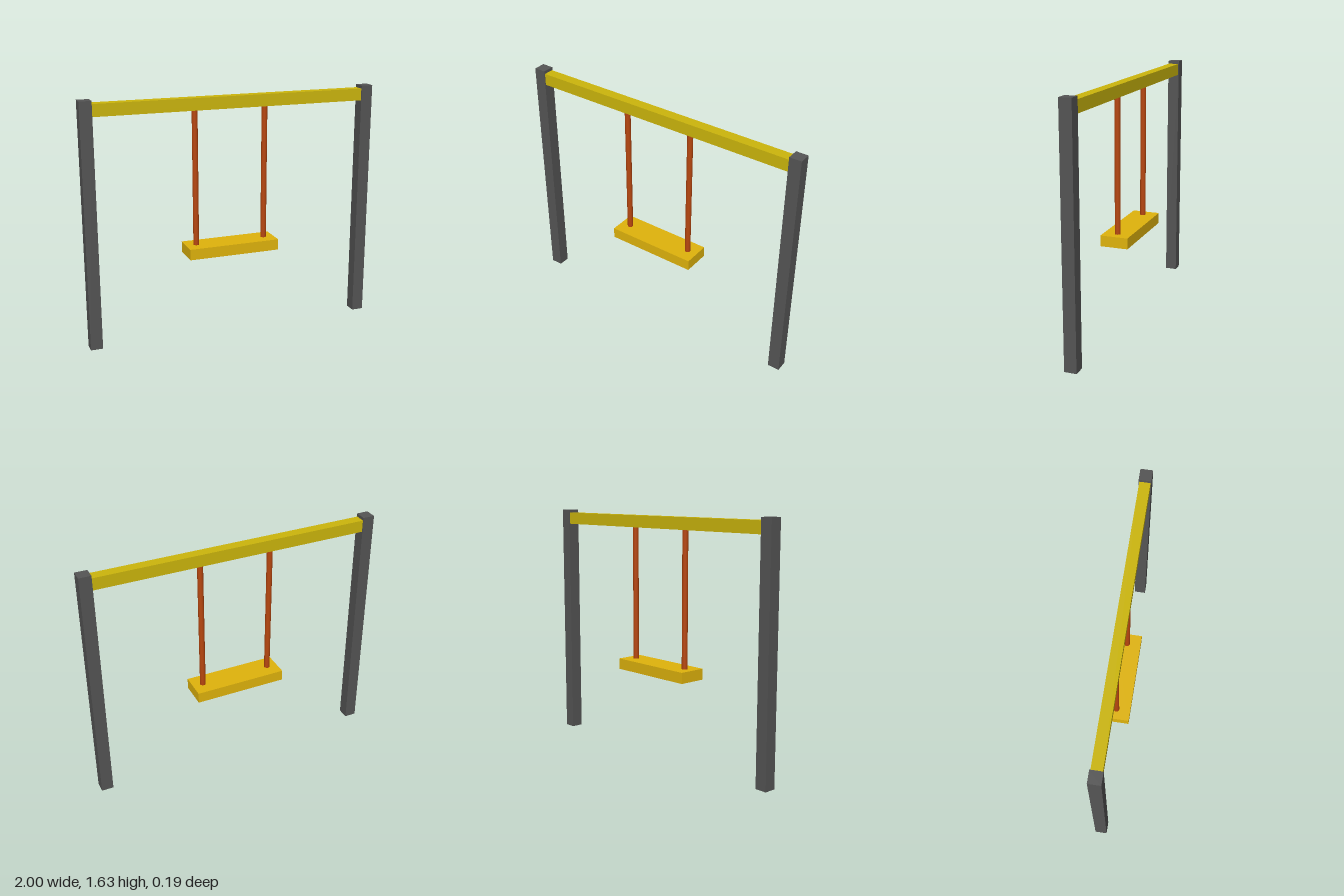
import * as THREE from 'three';

export function createModel() {
  const swing = new THREE.Group();
  swing.name = 'swingSet';

  const paint = (color) => new THREE.MeshStandardMaterial({ color });
  const postPaint = paint(0x555555);
  const beamPaint = paint(0xccb60c);
  const seatPaint = paint(0xe0b40c);
  const ropePaint = paint(0xb8470f);

  const add = (name, geometry, material, x, y, z = 0) => {
    const mesh = new THREE.Mesh(geometry, material);
    mesh.name = name;
    mesh.position.set(x, y, z);
    swing.add(mesh);
    return mesh;
  };

  // Two upright posts
  for (const [name, side] of [['leftPost', 1], ['rightPost', -1]]) {
    add(name, new THREE.BoxGeometry(0.08, 1.63, 0.08), postPaint, side * 0.96, 0.815);
  }

  // Crossbeam between the posts
  add('crossbeam', new THREE.BoxGeometry(1.86, 0.08, 0.07), beamPaint, 0, 1.57);

  // Seat and the two ropes that carry it, hung slightly off centre
  const seatX = -0.015;
  add('seat', new THREE.BoxGeometry(0.625, 0.073, 0.187), seatPaint, seatX, 0.592);
  for (const [name, side] of [['leftRope', 1], ['rightRope', -1]]) {
    add(name, new THREE.CylinderGeometry(0.019, 0.019, 0.94, 16), ropePaint, seatX + side * 0.241, 1.08);
  }

  return swing;
}
